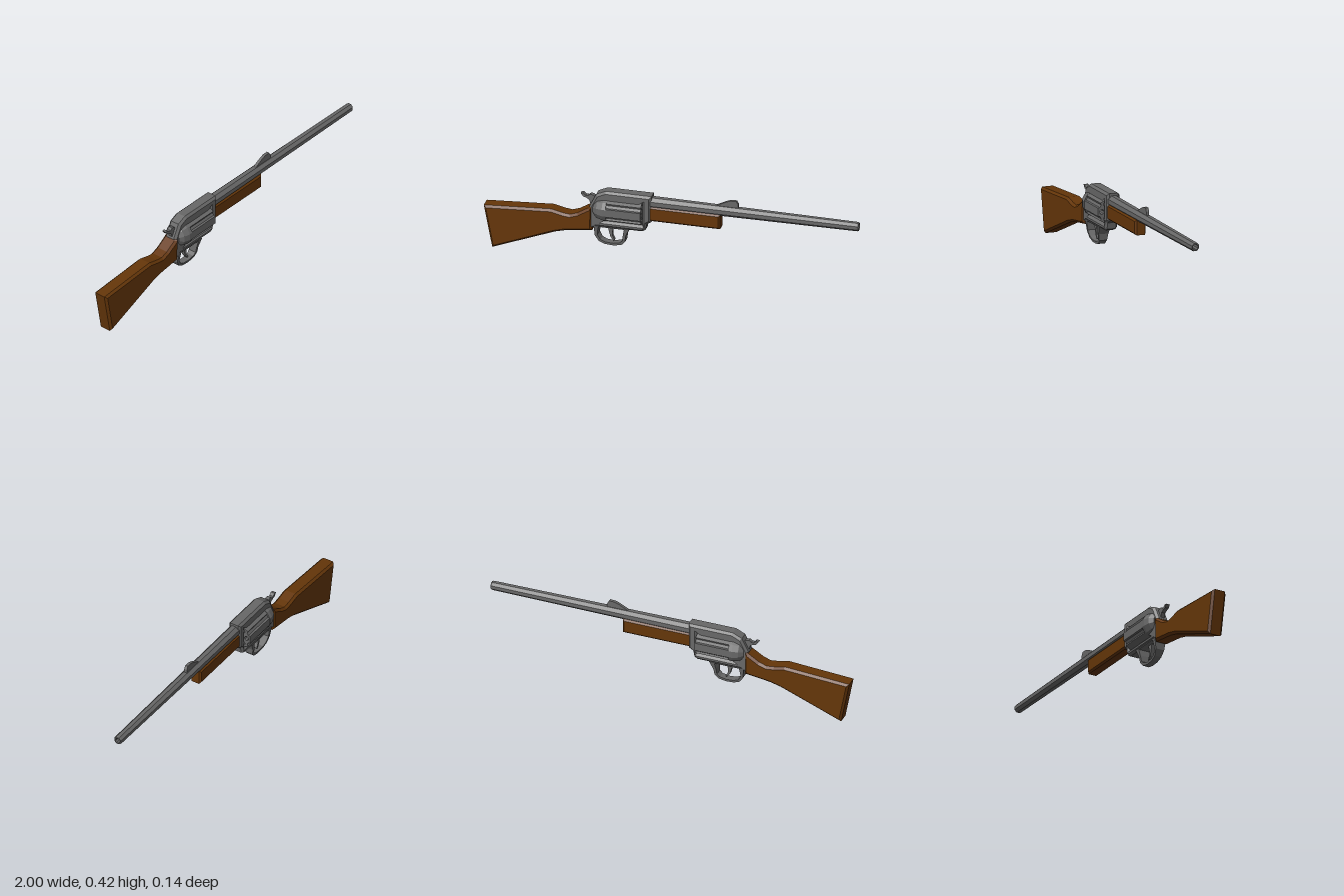
import * as THREE from 'three';

const steel = new THREE.MeshStandardMaterial({ color: 0x686868 });
steel.name = 'steel grey';
const wood = new THREE.MeshStandardMaterial({ color: 0x653609 });
wood.name = 'walnut brown';

const toShape = (pts) => new THREE.Shape(pts.map(([x, y]) => new THREE.Vector2(x, y)));

// side outline extruded symmetrically across z, with a flat chamfer
function plate(name, pts, half, bevel, material, hole) {
  const shape = toShape(pts);
  if (hole) shape.holes.push(toShape(hole));
  const depth = 2 * (half - bevel);
  const geo = new THREE.ExtrudeGeometry(shape, {
    depth, bevelEnabled: bevel > 0, bevelThickness: bevel, bevelSize: bevel,
    bevelOffset: -bevel, bevelSegments: 1,
  });
  geo.translate(0, 0, -depth / 2);
  const mesh = new THREE.Mesh(geo, material);
  mesh.name = name;
  return mesh;
}

// faceted solid of revolution along x; profile entries are [radius, x]
function turned(name, profile, sides, y) {
  const lathe = new THREE.LatheGeometry(profile.map(([r, x]) => new THREE.Vector2(r, x)), sides);
  lathe.rotateY(Math.PI / sides);
  lathe.rotateZ(-Math.PI / 2);
  const geo = lathe.toNonIndexed();
  geo.computeVertexNormals();
  const mesh = new THREE.Mesh(geo, steel);
  mesh.name = name;
  mesh.position.y = y;
  return mesh;
}

// drum with flutes between six open chambers
function flutedDrum(x0, x1, y, r) {
  const pts = [];
  const step = Math.PI / 3;
  for (let i = 0; i < 6; i++) {
    for (const [offset, radius] of [[-0.32, r], [0.32, r], [0.4, r * 0.86], [0.647, r * 0.86]]) {
      const a = i * step + offset;
      pts.push([radius * Math.cos(a), radius * Math.sin(a)]);
    }
  }
  const shape = toShape(pts);
  for (let i = 0; i < 6; i++) {
    const hole = new THREE.Path();
    hole.absarc(0.045 * Math.cos(i * step), 0.045 * Math.sin(i * step), 0.013, 0, Math.PI * 2, true);
    shape.holes.push(hole);
  }
  const geo = new THREE.ExtrudeGeometry(shape, { depth: x1 - x0, bevelEnabled: false, curveSegments: 4 });
  geo.rotateY(Math.PI / 2);
  const mesh = new THREE.Mesh(geo, steel);
  mesh.name = 'flutedCylinder';
  mesh.position.set(x0, y, 0);
  return mesh;
}

export function createModel() {
  const model = new THREE.Group();
  model.name = 'revolvingRifle';

  // wooden furniture
  model.add(plate('stock', [
    [-0.955, 0], [-0.62, 0.132], [-0.56, 0.148], [-0.42, 0.167], [-0.42, 0.305],
    [-0.44, 0.292], [-0.5, 0.255], [-0.54, 0.241], [-0.58, 0.246], [-0.64, 0.26], [-1, 0.237],
  ], 0.042, 0.012, wood));
  model.add(plate('foreEnd', [
    [-0.12, 0.255], [0.262, 0.255], [0.262, 0.337], [-0.12, 0.337],
  ], 0.031, 0.009, wood));

  // frame with the cylinder window
  model.add(plate('frame', [
    [-0.437, 0.168], [-0.405, 0.19], [-0.155, 0.19], [-0.137, 0.2], [-0.13, 0.235], [-0.105, 0.25],
    [-0.105, 0.396], [-0.35, 0.396], [-0.4, 0.373], [-0.437, 0.3],
  ], 0.036, 0.012, steel, [
    [-0.375, 0.225], [-0.375, 0.355], [-0.153, 0.355], [-0.153, 0.225],
  ]));

  // cylinder and its rounded recoil shield
  model.add(turned('recoilShield', [
    [0, -0.415], [0.042, -0.415], [0.062, -0.392], [0.071, -0.36], [0.071, -0.34], [0, -0.34],
  ], 12, 0.29));
  model.add(flutedDrum(-0.342, -0.155, 0.29, 0.071));
  model.add(turned('cylinderPin', [[0, -0.38], [0.012, -0.38], [0.012, -0.14], [0, -0.14]], 8, 0.29));

  // octagonal tapered barrel with an open bore
  model.add(turned('barrel', [
    [0, -0.12], [0.032, -0.12], [0.0245, 0.992], [0.0215, 1], [0.015, 1], [0.013, 0.85], [0, 0.85],
  ], 8, 0.354));

  model.add(plate('frontSight', [
    [0.235, 0.375], [0.355, 0.375], [0.355, 0.4], [0.345, 0.418], [0.315, 0.417], [0.29, 0.408],
    [0.245, 0.385],
  ], 0.008, 0, steel));

  // hammer with a curled thumb spur
  model.add(plate('hammer', [
    [-0.487, 0.362], [-0.475, 0.345], [-0.455, 0.338], [-0.442, 0.33], [-0.432, 0.3], [-0.4, 0.3],
    [-0.4, 0.345], [-0.418, 0.358], [-0.435, 0.362], [-0.447, 0.352], [-0.46, 0.352], [-0.472, 0.364],
  ], 0.011, 0, steel));

  // trigger guard, narrowing towards the bottom
  const guard = plate('triggerGuard', [
    [-0.412, 0.195], [-0.408, 0.135], [-0.388, 0.103], [-0.355, 0.088], [-0.31, 0.085],
    [-0.268, 0.093], [-0.247, 0.115], [-0.243, 0.15], [-0.222, 0.195],
  ], 0.034, 0, steel, [
    [-0.388, 0.19], [-0.25, 0.19], [-0.257, 0.155], [-0.261, 0.12], [-0.276, 0.106],
    [-0.312, 0.098], [-0.353, 0.101], [-0.378, 0.113], [-0.394, 0.14],
  ]);
  const pos = guard.geometry.attributes.position;
  for (let i = 0; i < pos.count; i++) {
    pos.setZ(i, pos.getZ(i) * THREE.MathUtils.mapLinear(pos.getY(i), 0.085, 0.195, 0.5, 1));
  }
  guard.geometry.computeVertexNormals();
  model.add(guard);

  model.add(plate('trigger', [
    [-0.345, 0.195], [-0.336, 0.16], [-0.328, 0.13], [-0.31, 0.108], [-0.305, 0.113],
    [-0.316, 0.135], [-0.318, 0.16], [-0.308, 0.195],
  ], 0.01, 0, steel));

  return model;
}
